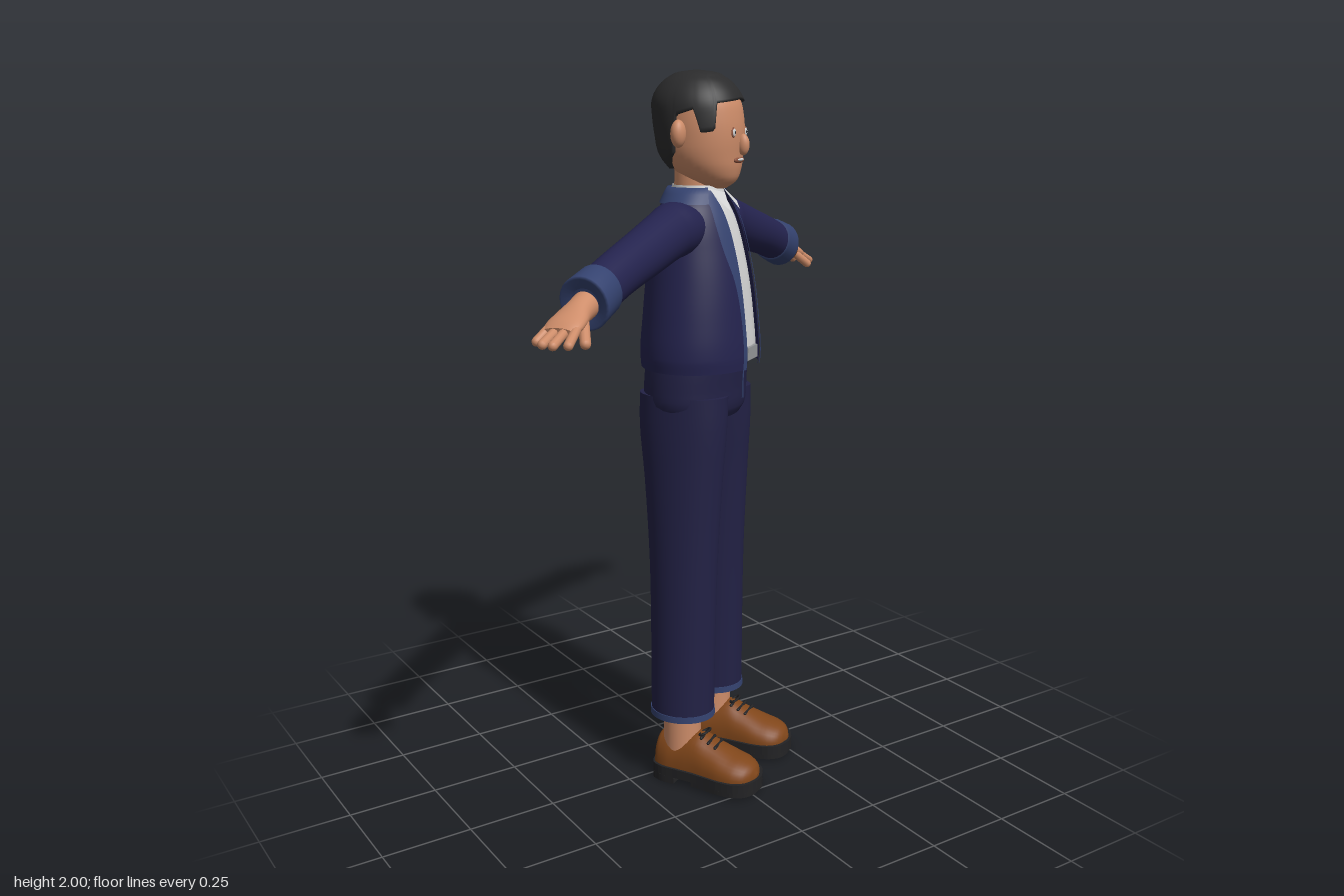
import * as THREE from 'three';

const paint = (name, color) => {
  const m = new THREE.MeshStandardMaterial({ color, side: THREE.DoubleSide });
  m.name = name;
  return m;
};
const V = (x, y, z) => new THREE.Vector3(x, y, z);
const TAU = Math.PI * 2;

// Interpolate rows of [position, ...values] smoothly
function profile(rows) {
  const f = new THREE.CubicInterpolant(rows.map(r => r[0]), rows.flatMap(r => r.slice(1)), rows[0].length - 1);
  return t => [...f.evaluate(t)];
}
function resample(rows, sub = 4) {
  const f = profile(rows), out = [];
  for (let i = 0; i < rows.length - 1; i++)
    for (let k = 0; k < sub; k++) {
      const t = THREE.MathUtils.lerp(rows[i][0], rows[i + 1][0], k / sub);
      out.push([t, ...f(t)]);
    }
  out.push(rows[rows.length - 1]);
  return out;
}

// Skin a list of point rings; closed rings wrap round
function loft(rings, closed = true, caps = true) {
  const n = rings[0].length, pos = [], idx = [];
  rings.forEach(r => r.forEach(p => pos.push(p.x, p.y, p.z)));
  for (let i = 0; i < rings.length - 1; i++)
    for (let j = 0; j < (closed ? n : n - 1); j++) {
      const k = (j + 1) % n, a = i * n + j, b = i * n + k;
      idx.push(a, b, b + n, a, b + n, a + n);
    }
  if (closed && caps) [0, rings.length - 1].forEach((ri, end) => {
    const base = pos.length / 3, c = V(0, 0, 0);
    rings[ri].forEach(p => { c.addScaledVector(p, 1 / n); pos.push(p.x, p.y, p.z); });
    pos.push(c.x, c.y, c.z);
    for (let j = 0; j < n; j++) {
      const a = base + j, b = base + (j + 1) % n;
      idx.push(base + n, end ? a : b, end ? b : a);
    }
  });
  const g = new THREE.BufferGeometry();
  g.setAttribute('position', new THREE.Float32BufferAttribute(pos, 3));
  g.setIndex(idx);
  g.computeVertexNormals();
  return g;
}

// Rings about y (from angle a0 to a1, 0 = front) and about a sleeve running along x
const ringY = (y, cx, cz, rx, rz, a0 = 0, a1 = TAU, n = 40) => {
  const full = a1 - a0 > TAU - 1e-6;
  return Array.from({ length: n }, (_, j) => {
    const a = a0 + (a1 - a0) * j / (full ? n : n - 1);
    return V(cx + rx * Math.sin(a), y, cz + rz * Math.cos(a));
  });
};
const ringX = ([x, y, ry, rz], z = -0.012, n = 28) => Array.from({ length: n }, (_, j) => {
  const dy = ry * Math.cos(j / n * TAU);
  return V(x + dy * 0.25, y + dy, z + rz * Math.sin(j / n * TAU));
});
const column = rows => loft(resample(rows).map(([y, cx, cz, rx, rz]) => ringY(y, cx, cz, rx, rz)));
const limb = rows => loft(resample(rows).map(r => ringX(r)));
const blob = (x, y, z, sx, sy, sz) => new THREE.SphereGeometry(1, 24, 16).scale(sx, sy, sz).translate(x, y, z);
function capsule(a, b, r) {
  const d = b.clone().sub(a), g = new THREE.CapsuleGeometry(r, d.length(), 5, 12);
  g.applyQuaternion(new THREE.Quaternion().setFromUnitVectors(V(0, 1, 0), d.normalize()));
  const m = a.clone().add(b).multiplyScalar(0.5);
  return g.translate(m.x, m.y, m.z);
}
function mirrored(g) {
  const m = g.clone().scale(-1, 1, 1);
  if (!m.index) m.setIndex(Array.from({ length: m.attributes.position.count }, (_, i) => i));
  const ix = m.index.array;
  for (let i = 0; i < ix.length; i += 3) [ix[i], ix[i + 1]] = [ix[i + 1], ix[i]];
  return m;
}

export function createModel() {
  const navy = paint('jacketNavy', 0x24234e), trouser = paint('trouserNavy', 0x222145);
  const blue = paint('trimBlue', 0x34426f), skin = paint('skin', 0xcd8c69);
  const hairMat = paint('hair', 0x2b2b2c), brown = paint('leatherBrown', 0x80461a);
  const black = paint('rubberBlack', 0x232325), white = paint('shirtWhite', 0xd2d2d2);
  const grey = paint('metalGrey', 0x96989a), lip = paint('lip', 0x8e5540);

  const model = new THREE.Group(), figure = new THREE.Group();
  figure.name = 'figure';
  figure.rotation.y = 0.588;
  model.add(figure);
  const add = (name, g, m) => {
    const mesh = new THREE.Mesh(g, m);
    mesh.name = name;
    figure.add(mesh);
  };
  const pair = (name, g, m) => {
    add('left' + name, g, m);
    add('right' + name, mirrored(g), m);
  };

  // Head: y, z centre, half width, half depth
  const headRows = [[1.693, .04, .025, .03], [1.71, .033, .055, .062], [1.74, .018, .084, .09], [1.78, .004, .103, .109],
    [1.83, 0, .11, .117], [1.88, -.005, .111, .119], [1.92, -.01, .106, .115], [1.955, -.012, .086, .095],
    [1.978, -.013, .06, .066], [1.99, -.013, .03, .034], [1.993, -.013, .004, .004]];
  const headAt = profile(headRows);
  add('head', loft(resample(headRows).map(([y, cz, rx, rz]) => ringY(y, 0, cz, rx, rz))), skin);
  add('neck', new THREE.CylinderGeometry(.058, .062, .13, 32).translate(0, 1.705, -.015), skin);

  // Hair: shell over the head whose lower edge forms hairline, sideburns and nape
  const line = [0, 1.925, .8, 1.915, .9, 1.845, 1.2, 1.84, 1.3, 1.9, 1.72, 1.885, 1.88, 1.79, 2.4, 1.745, 3.2, 1.742];
  const hairline = new THREE.LinearInterpolant(line.filter((_, i) => i % 2 === 0), line.filter((_, i) => i % 2), 1);
  const hairRings = Array.from({ length: 25 }, (_, i) => Array.from({ length: 120 }, (_, j) => {
    const a = j / 120 * TAU, low = hairline.evaluate(Math.min(a, TAU - a))[0];
    const t = Math.max(0, i - 1) / 23, y = low + (1.993 - low) * (1 - (1 - t) ** 2);
    const [cz, rx, rz] = headAt(y), o = i === 0 ? -.003 : .01 * (1 - t ** 6);
    return V((rx + o) * Math.sin(a), y + .007 * t, cz + (rz + o) * Math.cos(a));
  }));
  add('hair', loft(hairRings), hairMat);

  // Face
  const faceZ = (x, y) => { const [cz, rx, rz] = headAt(y); return cz + rz * Math.sqrt(1 - (x / rx) ** 2); };
  pair('Ear', blob(.126, 1.838, -.012, .024, .036, .02), skin);
  pair('EyeRim', blob(.041, 1.84, faceZ(.041, 1.84), .013, .014, .003), lip);
  pair('Eye', blob(.041, 1.84, faceZ(.041, 1.84) + .002, .0095, .0105, .003), white);
  pair('Pupil', blob(.041, 1.84, faceZ(.041, 1.84) + .004, .004, .004, .002), black);
  add('nose', blob(0, 1.808, .12, .015, .028, .017), skin);
  add('lips', blob(0, 1.768, faceZ(0, 1.768) - .004, .034, .009, .007), lip);
  add('teeth', blob(0, 1.769, faceZ(0, 1.769), .022, .004, .005), white);

  // Jacket, open at the front: y, z centre, half width, half depth, lapel width
  const coat = resample([[1.212, -.004, .188, .158, .012], [1.25, -.004, .192, .16, .012], [1.35, -.004, .182, .153, .012],
    [1.45, -.006, .167, .143, .02], [1.53, -.009, .154, .13, .035], [1.6, -.012, .142, .113, .038],
    [1.645, -.014, .122, .096, .03], [1.675, -.015, .095, .08, .02], [1.69, -.015, .077, .074, .012]]);
  const edge = .05, angle = (x, rx) => Math.asin(Math.min(1, x / rx));
  add('jacket', loft(coat.map(([y, cz, rx, rz]) => {
    const a = angle(edge, rx);
    return ringY(y, 0, cz, rx, rz, a, TAU - a, 64);
  }), false), navy);
  pair('Lapel', loft(coat.map(([y, cz, rx, rz, w]) =>
    ringY(y, 0, cz, rx + .005, rz + .005, angle(edge - .003, rx), angle(edge + w, rx), 8)), false), blue);
  add('jacketCollar', loft([[1.655, .118, .097], [1.68, .099, .087], [1.697, .08, .078], [1.69, .068, .068]].map(([y, rx, rz]) =>
    ringY(y, 0, -.015, rx, rz, .75, TAU - .75)), false), blue);

  // Shirt with collar, button strip and buckle
  add('shirt', loft(coat.filter(r => r[0] > 1.23).map(([y, cz, rx, rz]) => ringY(y, 0, cz, rx - .012, rz - .01))), white);
  add('buttonStrip', loft(coat.filter(r => r[0] > 1.27).map(([y, cz, rx, rz]) =>
    ringY(y, 0, cz, rx - .008, rz - .005, -angle(.014, rx), angle(.014, rx), 6)), false), white);
  add('shirtCollar', loft([ringY(1.665, 0, -.01, .073, .078), ringY(1.702, 0, -.013, .066, .068)], true, false), white);
  pair('CollarPoint', loft([[V(.006, 1.682, .07), V(.05, 1.695, .04)], [V(.032, 1.636, .099), V(.052, 1.655, .083)]].reverse(), false), white);
  add('buckle', new THREE.BoxGeometry(.07, .035, .012).translate(0, 1.252, .147), grey);

  // Sleeves and cuffs: x, y, half height, half depth
  pair('Sleeve', limb([[.08, 1.6, .052, .065], [.14, 1.595, .071, .074], [.2, 1.585, .068, .067], [.35, 1.551, .063, .06],
    [.5, 1.517, .058, .056], [.6, 1.489, .057, .055], [.65, 1.476, .055, .054]]), navy);
  pair('Cuff', loft([[.585, 1.494, .055, .053], [.587, 1.493, .063, .062], [.66, 1.472, .066, .064], [.664, 1.471, .06, .058],
    [.655, 1.473, .035, .035]].map(r => ringX(r))), blue);

  // Hands
  pair('Palm', limb([[.64, 1.472, .034, .034], [.69, 1.457, .03, .035], [.73, 1.444, .023, .044],
    [.765, 1.432, .018, .046], [.785, 1.426, .01, .038]]), skin);
  [.805, .832, .838, .822].forEach((tip, i) => {
    const z = (i - 1.5) * .023;
    pair('Finger' + (i + 1), capsule(V(.765, 1.43, z - .012), V(tip, 1.405, z * 1.3 - .012), .0115), skin);
  });
  pair('Thumb', capsule(V(.715, 1.44, .015), V(.765, 1.4, .045), .013), skin);

  // Wristwatch
  add('watchStrap', loft([[.684, 1.459, .034, .036], [.684, 1.459, .041, .043], [.712, 1.452, .04, .044], [.712, 1.452, .03, .036]]
    .map(r => ringX(r))), brown);
  const dial = (r, h, y) => new THREE.CylinderGeometry(r, r, h, 28).translate(0, y, 0).rotateZ(-.25).translate(.698, 1.495, -.012);
  add('watchCase', dial(.027, .018, .004), grey);
  add('watchRim', dial(.022, .003, .0135), black);
  add('watchDial', dial(.018, .003, .015), grey);

  // Trousers: y, x centre, z centre, half width, half depth
  add('hips', column([[1.075, 0, -.017, .145, .118], [1.1, 0, -.018, .168, .133], [1.16, 0, -.018, .173, .137], [1.25, 0, -.01, .165, .135]]), trouser);
  pair('TrouserLeg', column([[.2, .109, -.012, .083, .092], [.4, .105, -.012, .08, .094], [.65, .1, -.012, .079, .099],
    [.9, .094, -.014, .08, .114], [1.05, .088, -.017, .083, .127], [1.14, .083, -.017, .084, .128]]), trouser);
  pair('Hem', loft([ringY(.199, .109, -.012, .086, .095), ringY(.217, .109, -.012, .085, .094)]), blue);
  add('fly', new THREE.BoxGeometry(.006, .09, .004).translate(.012, 1.165, .119), blue);
  pair('Ankle', new THREE.CylinderGeometry(.054, .054, .16, 28).translate(.113, .17, -.012), skin);

  // Shoes: z, half width, height
  const shoeRows = [[-.09, .012, .03], [-.083, .038, .07], [-.06, .058, .092], [0, .064, .098], [.05, .065, .106],
    [.09, .069, .088], [.15, .074, .064], [.195, .064, .05], [.22, .038, .034], [.23, .008, .015]];
  const shoeAt = profile(shoeRows);
  const place = g => g.rotateY(.07).translate(.113, 0, 0);
  pair('ShoeUpper', place(loft(resample(shoeRows).map(([z, w, h]) => Array.from({ length: 32 }, (_, j) => {
    const a = j / 32 * TAU, s = Math.sin(a);
    return V(w * Math.cos(a), .042 + (s > 0 ? h * s ** .85 : 0), z);
  })))), brown);
  const slab = (z0, z1, y, h) => {
    const side = Array.from({ length: 25 }, (_, i) => {
      const z = THREE.MathUtils.lerp(z0, z1, (1 - Math.cos(i / 24 * Math.PI)) / 2);
      return new THREE.Vector2(Math.max(shoeAt(z)[0], .004) + .007, z * 1.03);
    });
    const outline = [...side, ...side.map(p => new THREE.Vector2(-p.x, p.y)).reverse()];
    return place(new THREE.ExtrudeGeometry(new THREE.Shape(outline), { depth: h, bevelEnabled: false })
      .rotateX(Math.PI / 2).translate(0, y, 0));
  };
  pair('Sole', slab(-.09, .23, .047, .027), black);
  pair('Heel', slab(-.089, -.005, .021, .021), black);
  pair('Tread', slab(.05, .228, .021, .014), black);
  [.058, .08, .102].forEach((z, i) => {
    const y = .044 + shoeAt(z)[1];
    pair('Lace' + (i + 1), place(capsule(V(-.028, y - .008, z), V(.028, y - .006, z + .006), .0045)), black);
  });
  pair('LaceBow', place(new THREE.TorusGeometry(.014, .0035, 6, 16).scale(1.6, 1, 1).rotateX(1.1).translate(0, .15, .062)), black);

  return model;
}
